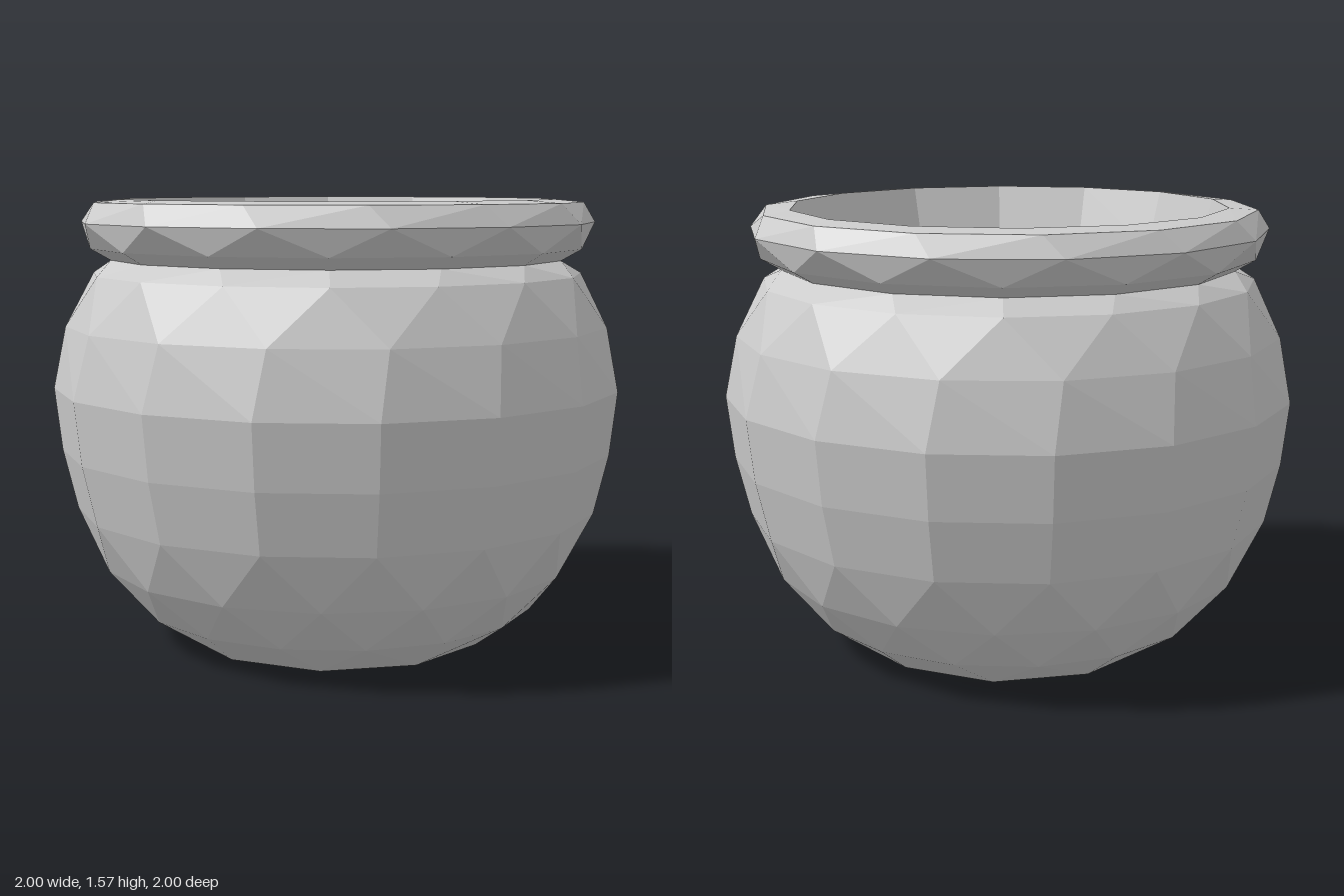
import * as THREE from 'three';

const DEG = Math.PI / 180;

// A ring is [radius, height, number of sides, phase in degrees from the front].
function ringPoint([r, y, n, phase], i) {
  const a = (phase + ((i % n) * 360) / n) * DEG;
  return [Math.sin(a) * r, y, Math.cos(a) * r];
}

// Joins two rings, which may differ in side count, with a strip of triangles.
function addBand(out, a, b) {
  const angle = (ring, i) => ring[3] + (i * 360) / ring[2];
  let i = 0, j = 0;
  while (i < a[2] || j < b[2]) {
    const stepA = j >= b[2] || (i < a[2] && angle(a, i + 1) <= angle(b, j + 1));
    const p = ringPoint(a, i), q = ringPoint(b, j);
    if (stepA) {
      if (a[0] > 0) out.push(...p, ...ringPoint(a, i + 1), ...q);
      i++;
    } else {
      if (b[0] > 0) out.push(...p, ...ringPoint(b, j + 1), ...q);
      j++;
    }
  }
}

function ringMesh(name, rings, material) {
  const positions = [];
  for (let k = 0; k < rings.length - 1; k++) addBand(positions, rings[k], rings[k + 1]);
  const geometry = new THREE.BufferGeometry();
  geometry.setAttribute('position', new THREE.Float32BufferAttribute(positions, 3));
  geometry.computeVertexNormals();
  const mesh = new THREE.Mesh(geometry, material);
  mesh.name = name;
  return mesh;
}

export function createModel() {
  const material = new THREE.MeshStandardMaterial({
    color: 0xcccccc, flatShading: true, side: THREE.DoubleSide,
  });
  const pot = new THREE.Group();
  pot.name = 'pot';

  // Rounded outer wall with a flat base, closing in towards the neck
  pot.add(ringMesh('body', [
    [0, 0, 1, 0],
    [0.54, 0, 10, 6],
    [0.71, 0.12, 16, 6],
    [0.84, 0.28, 16, -5],
    [0.93, 0.48, 16, 6],
    [0.98, 0.69, 16, 6],
    [1.005, 0.91, 16, 6],
    [0.96, 1.13, 16, 8],
    [0.87, 1.31, 16, -3],
    [0.8, 1.36, 14, 0],
  ], material));

  // Thick overhanging lip and the sloping inside of the mouth
  pot.add(ringMesh('rim', [
    [0.8, 1.36, 14, 0],
    [0.87, 1.4, 14, 0],
    [0.915, 1.49, 14, 12],
    [0.87, 1.56, 14, 8],
    [0.77, 1.57, 14, 4],
    [0.71, 1.36, 14, 4],
  ], material));

  // Hollow inside, from the neck down to the flat floor
  pot.add(ringMesh('interior', [
    [0.71, 1.36, 14, 4],
    [0.79, 1.23, 14, 4],
    [0.87, 1.09, 14, 8],
    [0.9, 0.9, 14, 8],
    [0.87, 0.69, 14, 8],
    [0.82, 0.5, 14, 8],
    [0.74, 0.33, 14, 0],
    [0.61, 0.19, 12, 4],
    [0.42, 0.09, 8, 10],
    [0, 0.09, 1, 0],
  ], material));

  return pot;
}
